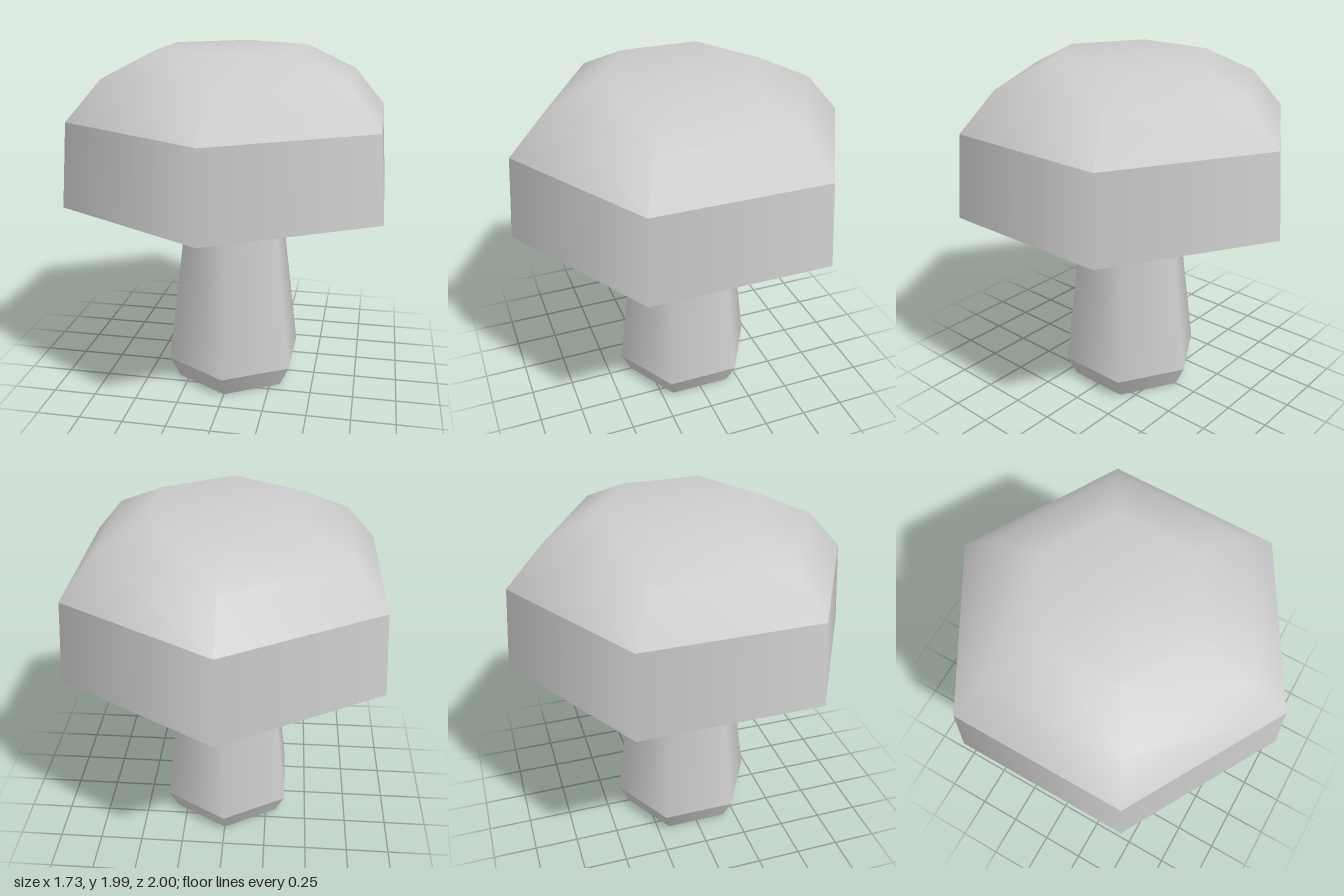
import * as THREE from 'three';

export function createModel() {
  const group = new THREE.Group();
  const grey = new THREE.MeshStandardMaterial({ color: 0xcccccc });
  grey.name = 'light grey';

  // Six-sided turned section with a corner facing front; profile runs [radius, height] upward.
  // Separate sections keep the rings between them sharp.
  const addSection = (name, profile) => {
    const points = profile.map(([r, y]) => new THREE.Vector2(r, y));
    const mesh = new THREE.Mesh(new THREE.LatheGeometry(points, 6), grey);
    mesh.name = name;
    group.add(mesh);
  };

  // Stem
  addSection('stemBottom', [[0, 0], [0.36, 0]]);
  addSection('stemFoot', [[0.36, 0], [0.42, 0.125]]);
  addSection('stem', [[0.42, 0.125], [0.31, 0.985]]);

  // Cap
  addSection('capNeck', [[0.31, 0.985], [0.43, 1.08]]);
  addSection('capUnderside', [[0.43, 1.08], [1, 1.15]]);
  addSection('capBand', [[1, 1.15], [0.96, 1.62]]);
  addSection('capDome', [[0.96, 1.62], [0.76, 1.84], [0.45, 1.985], [0, 1.985]]);

  return group;
}
